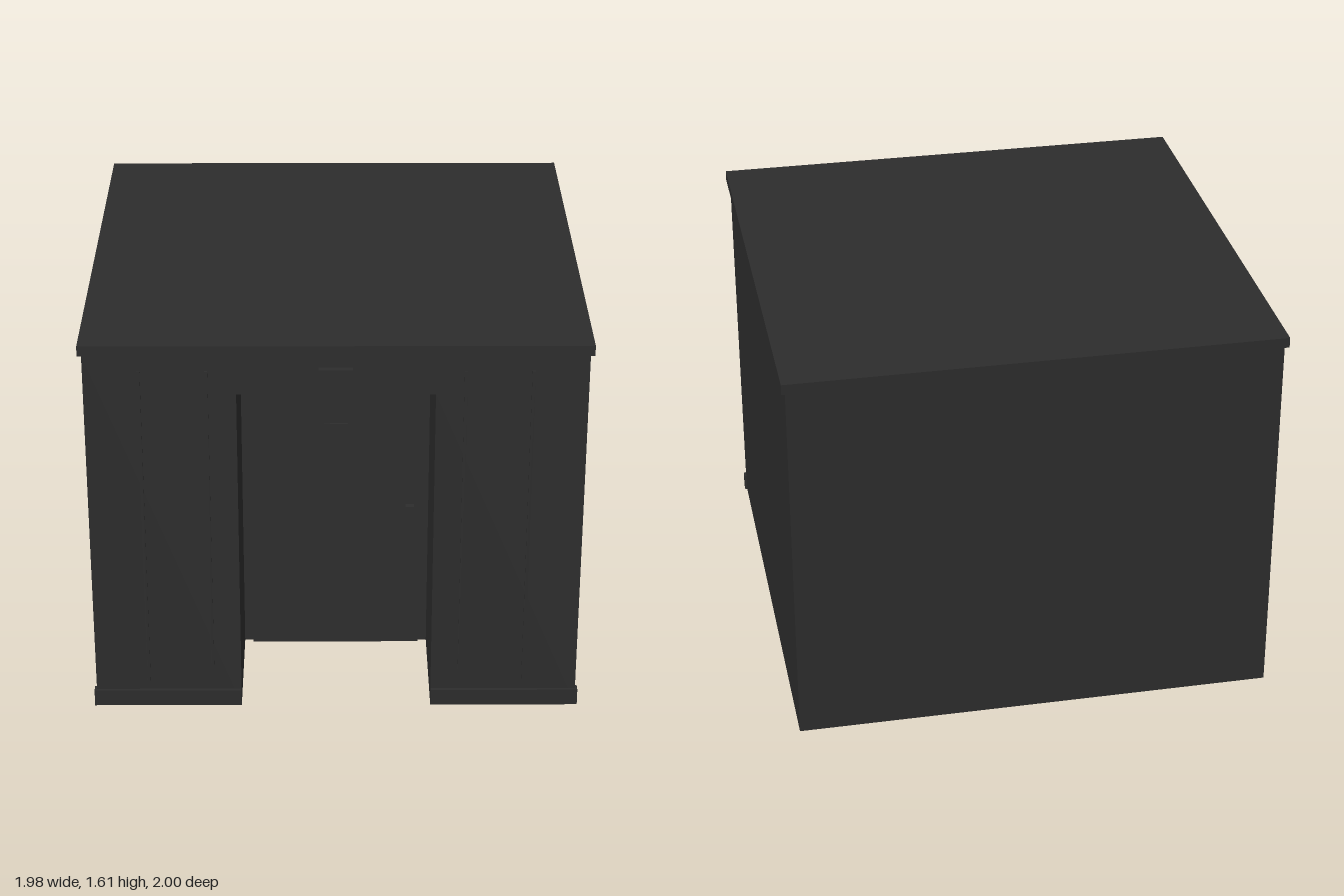
import * as THREE from 'three';

export function createModel() {
  const model = new THREE.Group();
  const charcoal = new THREE.MeshStandardMaterial({ color: 0x2d2d2d });
  charcoal.name = 'charcoal';

  const add = (name, geometry) => {
    const mesh = new THREE.Mesh(geometry, charcoal);
    mesh.name = name;
    model.add(mesh);
    return mesh;
  };

  // Box given by its minimum and maximum corners
  const box = (name, [x0, y0, z0], [x1, y1, z1]) => {
    const mesh = add(name, new THREE.BoxGeometry(x1 - x0, y1 - y0, z1 - z0));
    mesh.position.set((x0 + x1) / 2, (y0 + y1) / 2, (z0 + z1) / 2);
  };

  const wallX = 0.975, wallTop = 1.57;
  const back = -0.984, front = 0.967, recess = 0.467;
  const doorX = 0.385, doorTop = 1.4;

  // Solid rear of the building, its front face closing the door recess
  box('rearBody', [-wallX, 0, back], [wallX, wallTop, recess]);

  // Front wall with the doorway cut up from the ground
  const outline = new THREE.Shape([
    [-wallX, 0], [-doorX, 0], [-doorX, doorTop], [doorX, doorTop],
    [doorX, 0], [wallX, 0], [wallX, wallTop], [-wallX, wallTop],
  ].map(([x, y]) => new THREE.Vector2(x, y)));
  const wall = new THREE.ExtrudeGeometry(outline, { depth: front - recess, bevelEnabled: false });
  add('frontWall', wall).position.z = recess;

  // Flat overhanging roof
  box('roof', [-0.99, wallTop, -0.998], [0.99, 1.612, 0.984]);

  // Plinths and thin vertical battens on both sides of the doorway
  for (const side of [-1, 1]) {
    const [a, b] = [side * doorX, side * 0.984].sort((p, q) => p - q);
    box('plinth', [a, 0, 0.945], [b, 0.07, 0.981]);
    for (const x of [0.5, 0.76]) {
      box('batten', [side * x - 0.006, 0.11, front - 0.005], [side * x + 0.006, 1.5, front + 0.007]);
    }
  }

  // Door at the back of the recess, with its handle
  box('door', [-0.35, 0, recess - 0.01], [0.35, 1.37, recess + 0.015]);
  box('doorHandle', [0.29, 0.615, recess], [0.325, 0.662, recess + 0.04]);

  // Lamp over the doorway and the small plate hanging in it
  box('lamp', [-0.068, 1.435, front - 0.005], [0.065, 1.515, 0.995]);
  box('doorPlate', [-0.047, 1.24, 0.994], [0.045, 1.29, 1.002]);

  return model;
}
